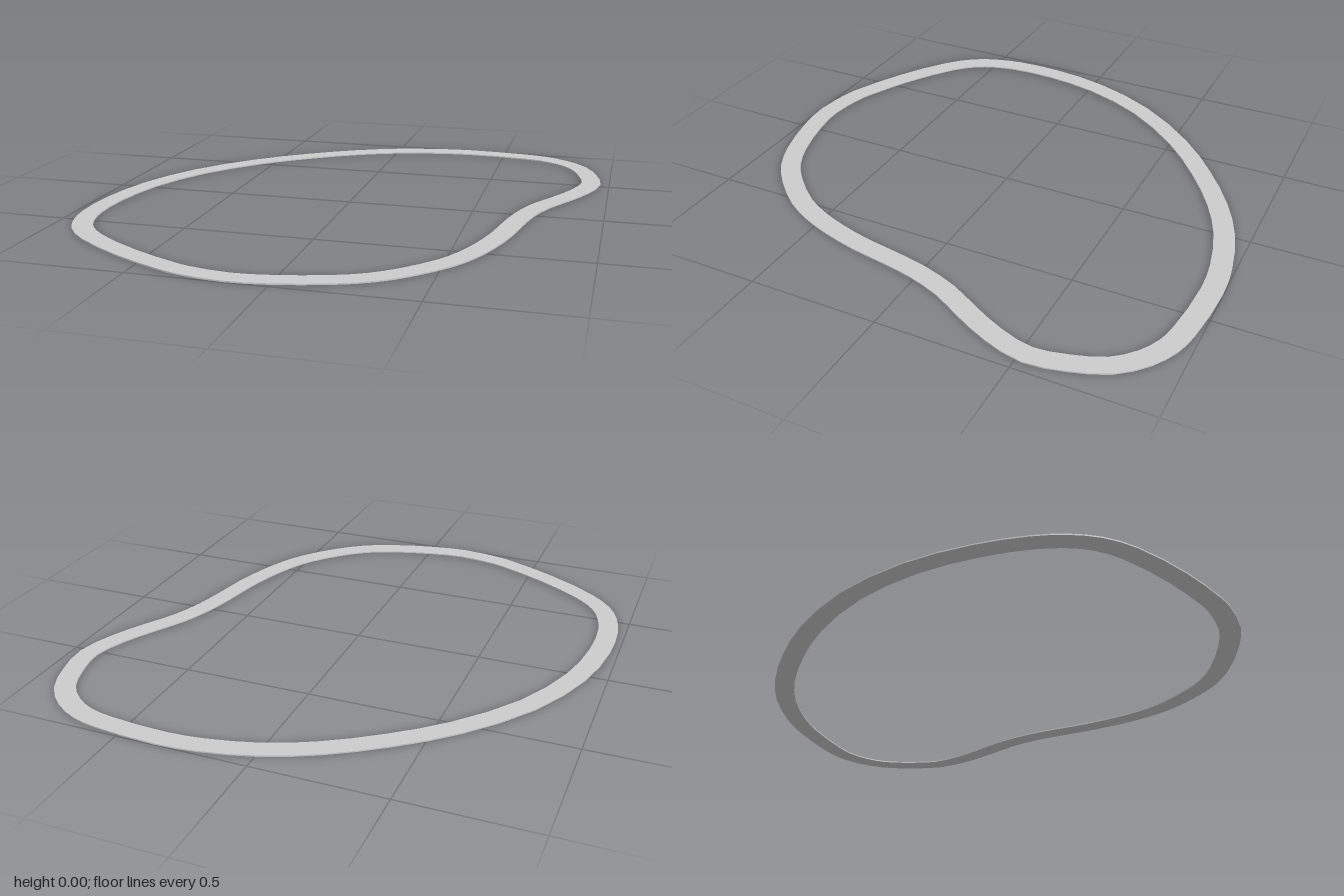
import * as THREE from 'three';

const BAND_WIDTH = 0.079;
const THICKNESS = 0.005;

// Centreline of the band as [x, z]
const path = [
  [0.35, -0.96], [0.2, -0.948], [0, -0.90], [-0.18, -0.82], [-0.38, -0.69], [-0.57, -0.53],
  [-0.765, -0.29], [-0.885, -0.025], [-0.93, 0.215], [-0.93, 0.4], [-0.907, 0.51],
  [-0.865, 0.6], [-0.78, 0.69], [-0.58, 0.82], [-0.39, 0.91], [-0.32, 0.935],
  [-0.155, 0.96], [-0.01, 0.945], [0.18, 0.895], [0.3, 0.84], [0.4, 0.76],
  [0.51, 0.635], [0.568, 0.53], [0.61, 0.42], [0.648, 0.28], [0.67, 0.155],
  [0.7, 0.01], [0.75, -0.13], [0.82, -0.255], [0.885, -0.385], [0.925, -0.525],
  [0.903, -0.66], [0.855, -0.785], [0.775, -0.87], [0.685, -0.92], [0.59, -0.942],
];

// Outline parallel to the centreline, in the (x, -z) plane
function offsetOutline(curve, distance, count) {
  const points = [];
  for (let i = 0; i < count; i++) {
    const p = curve.getPoint(i / count);
    const t = curve.getTangent(i / count);
    points.push(new THREE.Vector2(p.x + t.y * distance, p.y - t.x * distance));
  }
  return points;
}

export function createModel() {
  const group = new THREE.Group();
  group.name = 'flatLoop';

  const curve = new THREE.CatmullRomCurve3(
    path.map(([x, z]) => new THREE.Vector3(x, -z, 0)), true, 'centripetal');
  const count = path.length * 2;

  // Thin closed band: outer outline with the inner outline cut out
  const shape = new THREE.Shape(offsetOutline(curve, BAND_WIDTH / 2, count));
  shape.holes.push(new THREE.Path(offsetOutline(curve, -BAND_WIDTH / 2, count)));
  const geometry = new THREE.ExtrudeGeometry(shape, { depth: THICKNESS, bevelEnabled: false });
  geometry.rotateX(-Math.PI / 2);

  const band = new THREE.Mesh(geometry, new THREE.MeshStandardMaterial({ color: 0xcccccc }));
  band.name = 'loopBand';
  group.add(band);
  return group;
}
